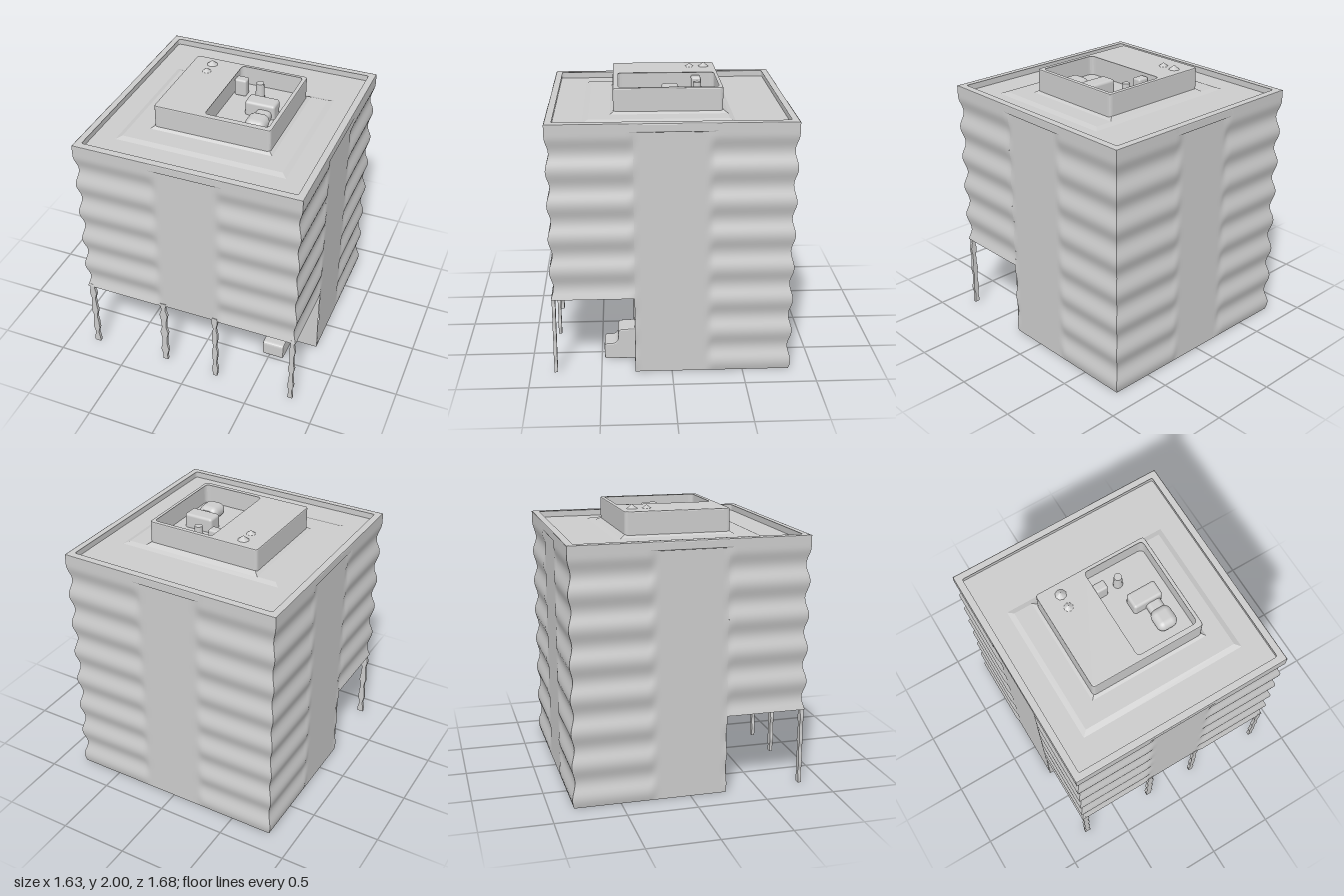
import * as THREE from 'three';
import { RoundedBoxGeometry } from 'three/addons/geometries/RoundedBoxGeometry.js';

const HX = 0.805, HZ = 0.83, TOP = 1.82, PORCH_Y = 0.57, PORCH_Z = 0.26;
const mat = new THREE.MeshStandardMaterial({ color: 0xcccccc, side: THREE.DoubleSide });

function add(parent, name, geo, x = 0, y = 0, z = 0) {
  const mesh = new THREE.Mesh(geo, mat);
  mesh.name = name;
  mesh.position.set(x, y, z);
  parent.add(mesh);
  return mesh;
}

// Outward swell of the storey bands, fading to a flat central pier
function swell(u, y, pier) {
  const wave = y > 1.74 ? 1 : Math.cos((2 * Math.PI * (y - 1.5)) / 0.24);
  return 0.012 * wave * THREE.MathUtils.smoothstep(Math.abs(u), pier, pier + 0.06);
}

// Rippled facade panel; u runs to the right as seen from outside
function wall(parent, name, angle, hU, hN, pier, u0, u1, y0, y1) {
  const geo = new THREE.PlaneGeometry(u1 - u0, y1 - y0, Math.ceil((u1 - u0) * 40), Math.ceil((y1 - y0) * 50));
  const p = geo.attributes.position;
  for (let i = 0; i < p.count; i++) {
    const u = p.getX(i) + (u0 + u1) / 2, y = p.getY(i) + (y0 + y1) / 2;
    const off = swell(u, y, pier);
    p.setXYZ(i, u * (1 + off / hU), y, hN + off);
  }
  geo.computeVertexNormals();
  add(parent, name, geo).rotation.y = angle;
}

// Flat rectangle at height y, given by x and z ranges
function deck(parent, name, x0, x1, z0, z1, y, down = false) {
  const geo = new THREE.PlaneGeometry(x1 - x0, z1 - z0).rotateX(down ? Math.PI / 2 : -Math.PI / 2);
  add(parent, name, geo, (x0 + x1) / 2, y, (z0 + z1) / 2);
}

// Rounded rectangle in plan
function roundRect(Type, x0, x1, z0, z1, r) {
  const s = new Type();
  s.moveTo(x0 + r, -z0);
  s.lineTo(x1 - r, -z0).quadraticCurveTo(x1, -z0, x1, -z0 - r);
  s.lineTo(x1, -z1 + r).quadraticCurveTo(x1, -z1, x1 - r, -z1);
  s.lineTo(x0 + r, -z1).quadraticCurveTo(x0, -z1, x0, -z1 + r);
  s.lineTo(x0, -z0 - r).quadraticCurveTo(x0, -z0, x0 + r, -z0);
  return s;
}

// Plan ring (outer outline minus hole) raised from y0 to y1
function ring(parent, name, outer, hole, r, y0, y1, bevel) {
  const shape = roundRect(THREE.Shape, ...outer, r);
  shape.holes.push(roundRect(THREE.Path, ...hole, r * 1.5));
  const geo = new THREE.ExtrudeGeometry(shape, {
    depth: y1 - y0 - 2 * bevel, bevelSize: bevel, bevelThickness: bevel,
    bevelOffset: -bevel, bevelSegments: 2, curveSegments: 4,
  }).rotateX(-Math.PI / 2);
  add(parent, name, geo, 0, y0 + bevel, 0);
}

// Low frustum with a rectangular plan, blending the penthouse into the roof
function skirt(parent, name, x0, x1, z0, z1, y0, y1, inset) {
  const w = x1 - x0, d = z1 - z0;
  const geo = new THREE.BoxGeometry(w, y1 - y0, d);
  const p = geo.attributes.position;
  for (let i = 0; i < p.count; i++) {
    if (p.getY(i) > 0) p.setXYZ(i, p.getX(i) * (1 - 2 * inset / w), p.getY(i), p.getZ(i) * (1 - 2 * inset / d));
  }
  geo.computeVertexNormals();
  add(parent, name, geo, (x0 + x1) / 2, (y0 + y1) / 2, (z0 + z1) / 2);
}

// Thin porch post with an uneven, beaded outline
function post(parent, x, width, y0, phase) {
  const h = PORCH_Y + 0.02 - y0;
  const geo = new THREE.BoxGeometry(width, h, 0.024, 1, 40, 1);
  const p = geo.attributes.position;
  for (let i = 0; i < p.count; i++) {
    const y = p.getY(i);
    p.setX(i, p.getX(i) * (1 + 0.25 * Math.sin(y * 38 + phase) + 0.1 * Math.sin(y * 71 + phase)));
  }
  geo.computeVertexNormals();
  add(parent, 'porchPost', geo, x, y0 + h / 2, 0.822);
}

export function createModel() {
  const model = new THREE.Group();
  model.name = 'officeBlock';

  // Facades
  const q = Math.PI / 2;
  const facades = new THREE.Group();
  facades.name = 'facades';
  model.add(facades);
  wall(facades, 'frontFacade', 0, HX, HZ, 0.2, -HX, HX, PORCH_Y, TOP);
  wall(facades, 'backFacade', 2 * q, HX, HZ, 0.2, -HX, HX, 0, TOP);
  for (const s of [1, -1]) {
    const side = s > 0 ? 'left' : 'right';
    const [a, b] = [-s * HZ, -s * PORCH_Z];
    wall(facades, side + 'UpperFacade', s * q, HZ, HX, 0.23, Math.min(a, b), Math.max(a, b), PORCH_Y, TOP);
    const [c, d] = [-s * PORCH_Z, s * HZ];
    wall(facades, side + 'MainFacade', s * q, HZ, HX, 0.23, Math.min(c, d), Math.max(c, d), 0, TOP);
  }

  // Open porch: recessed wall, ceiling, base and posts
  add(model, 'porchWall', new THREE.PlaneGeometry(2 * HX, PORCH_Y), 0, PORCH_Y / 2, PORCH_Z);
  deck(model, 'porchCeiling', -HX, HX, PORCH_Z, HZ, PORCH_Y, true);
  deck(model, 'base', -HX, HX, -HZ, PORCH_Z, 0, true);
  post(model, -0.782, 0.04, 0.01, 0);
  post(model, -0.205, 0.045, 0.03, 2);
  post(model, 0.2, 0.035, 0.01, 4);
  post(model, 0.79, 0.035, 0.01, 1);

  // Stepped entrance block, profile in z and y
  const step = new THREE.Shape();
  step.moveTo(0.24, 0);
  step.lineTo(0.46, 0).quadraticCurveTo(0.48, 0, 0.48, 0.02);
  step.lineTo(0.48, 0.1).quadraticCurveTo(0.48, 0.125, 0.455, 0.125);
  step.lineTo(0.42, 0.125).quadraticCurveTo(0.38, 0.135, 0.38, 0.17);
  step.lineTo(0.38, 0.21).quadraticCurveTo(0.375, 0.235, 0.35, 0.235);
  step.lineTo(0.24, 0.24);
  const stepGeo = new THREE.ExtrudeGeometry(step, {
    depth: 0.145, bevelSize: 0.01, bevelThickness: 0.01, bevelOffset: -0.01, bevelSegments: 2, curveSegments: 5,
  }).rotateY(-q);
  add(model, 'entranceStep', stepGeo, 0.6, 0, 0);

  // Roof, parapet and raised plinth
  deck(model, 'roof', -0.79, 0.79, -0.81, 0.81, 1.775);
  ring(model, 'parapet', [-0.817, 0.817, -0.842, 0.842], [-0.775, 0.775, -0.8, 0.8], 0.015, 1.76, TOP + 0.003, 0.008);
  skirt(model, 'roofPlinth', -0.63, 0.63, -0.45, 0.61, 1.77, 1.79, 0.05);
  skirt(model, 'penthouseSkirt', -0.45, 0.46, -0.41, 0.42, 1.785, 1.81, 0.04);

  // Penthouse with a sunken equipment well
  ring(model, 'penthouse', [-0.42, 0.43, -0.37, 0.39], [-0.065, 0.41, -0.35, 0.36], 0.025, 1.78, 1.968, 0.008);
  deck(model, 'wellFloor', -0.08, 0.42, -0.36, 0.37, 1.825);

  // Equipment in the well
  const gear = new THREE.Group();
  gear.name = 'roofEquipment';
  model.add(gear);
  add(gear, 'plantBox', new RoundedBoxGeometry(0.22, 0.12, 0.12, 3, 0.02), 0.22, 1.87, -0.015);
  add(gear, 'duct', new RoundedBoxGeometry(0.11, 0.08, 0.16, 3, 0.03), 0.255, 1.85, 0.09);
  add(gear, 'fanHousing', new RoundedBoxGeometry(0.15, 0.1, 0.16, 4, 0.048), 0.255, 1.865, 0.18);
  add(gear, 'wallUnit', new RoundedBoxGeometry(0.09, 0.13, 0.07, 3, 0.015), -0.01, 1.885, -0.21);
  add(gear, 'ventPipe', new THREE.CylinderGeometry(0.028, 0.035, 0.12, 12), 0.13, 1.88, -0.21);

  // Small vents on the penthouse roof
  add(gear, 'roofVent', new THREE.ConeGeometry(0.05, 0.04, 8), -0.27, 1.98, -0.285);
  add(gear, 'roofVent', new THREE.ConeGeometry(0.04, 0.03, 8), -0.27, 1.978, -0.18);
  return model;
}
